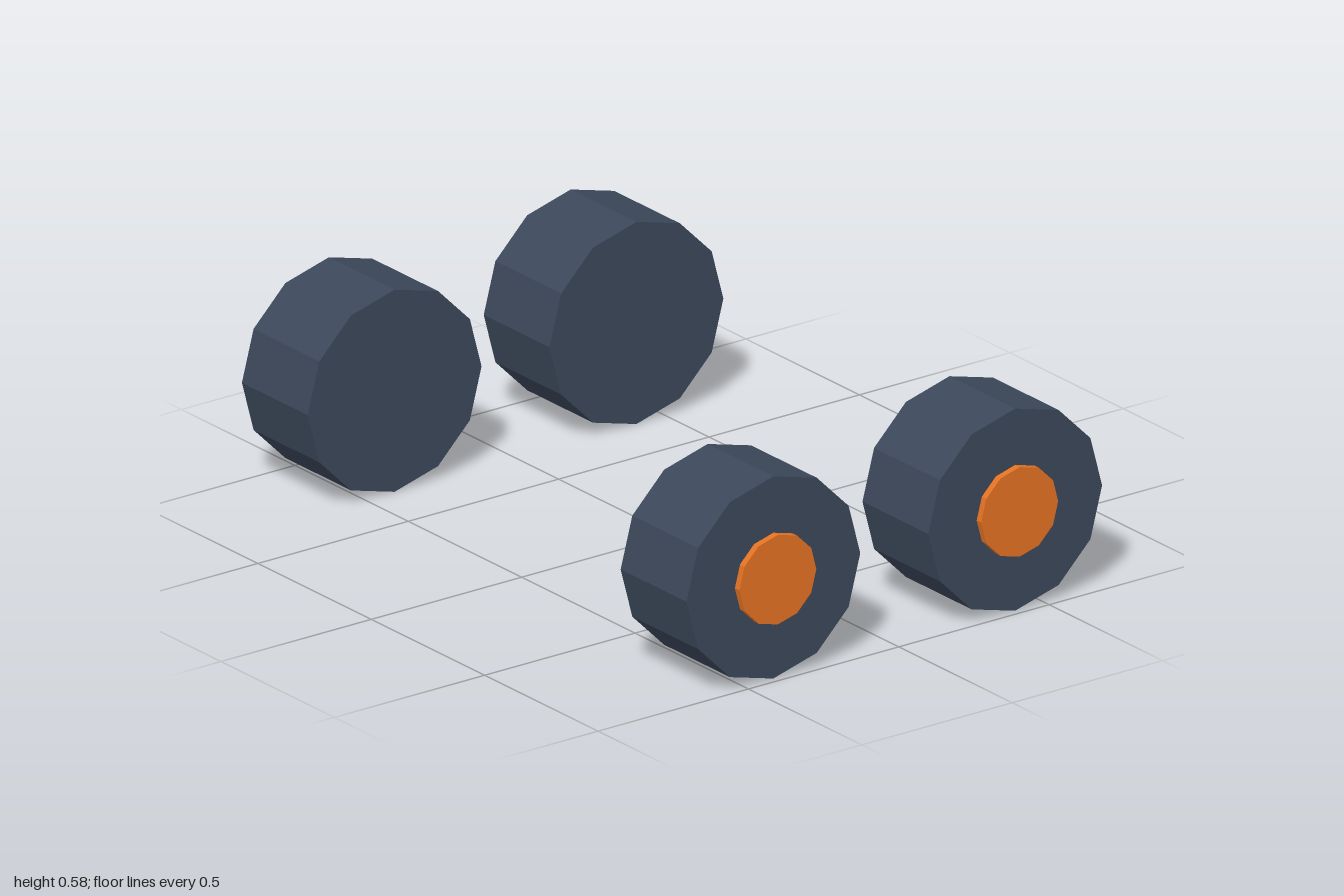
import * as THREE from 'three';

const TIRE_R = 0.289, HUB_R = 0.128, SIDES = 12;

// Faceted disc lying along the x axis, from x0 to x1, with a corner at the top
function disc(name, radius, x0, x1, material) {
  const geometry = new THREE.CylinderGeometry(radius, radius, x1 - x0, SIDES);
  geometry.rotateZ(Math.PI / 2);
  const mesh = new THREE.Mesh(geometry, material);
  mesh.position.x = (x0 + x1) / 2;
  mesh.name = name;
  return mesh;
}

export function createModel() {
  const model = new THREE.Group();
  model.name = 'wheelSet';
  const rubber = new THREE.MeshStandardMaterial({ color: 0x3b475a, flatShading: true });
  const orange = new THREE.MeshStandardMaterial({ color: 0xe37222, flatShading: true });

  for (const [side, sx] of [['Left', 1], ['Right', -1]]) {
    for (const [end, sz] of [['front', 1], ['rear', -1]]) {
      const wheel = new THREE.Group();
      wheel.name = `${end}${side}Wheel`;
      // Tire, with a hub cap standing proud of its outer face
      wheel.add(disc('tire', TIRE_R, 0.69, 0.98, rubber));
      wheel.add(disc('hubCap', HUB_R, 0.94, 1, orange));
      wheel.rotation.y = sx > 0 ? 0 : Math.PI;
      wheel.position.set(0, TIRE_R, sz * 0.402);
      model.add(wheel);
    }
  }
  return model;
}
